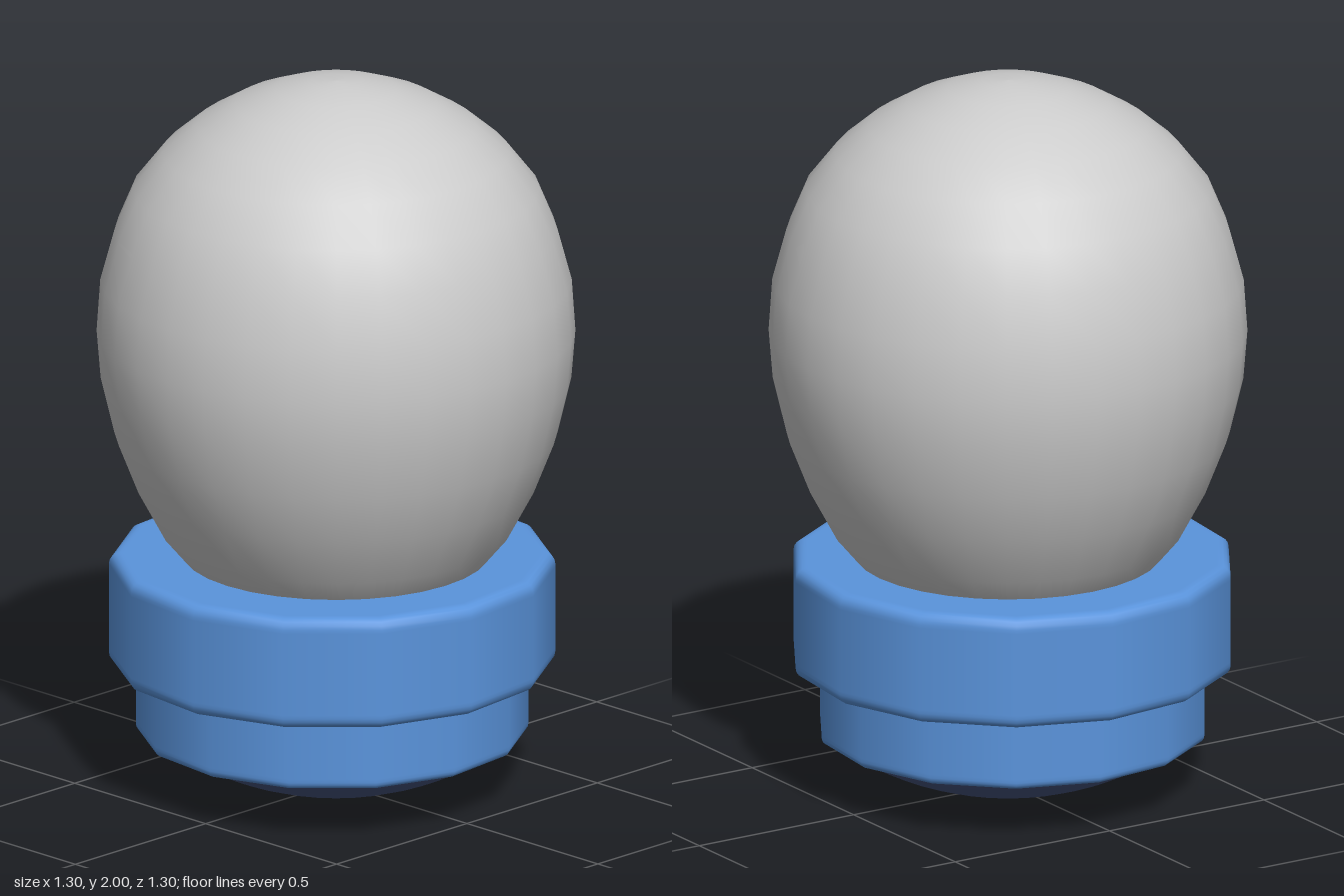
import * as THREE from 'three';

const grey = new THREE.MeshStandardMaterial({ color: 0xcccccc, side: THREE.DoubleSide });
const blue = new THREE.MeshStandardMaterial({ color: 0x5a94dc });
const navy = new THREE.MeshStandardMaterial({ color: 0x46557f, side: THREE.DoubleSide });

// Turned part from [radius, height] pairs, listed from bottom to top
function turned(name, profile, sides, material, start = 0) {
  const points = profile.map(([r, y]) => new THREE.Vector2(r, y));
  const mesh = new THREE.Mesh(new THREE.LatheGeometry(points, sides, start), material);
  mesh.name = name;
  return mesh;
}

// Closed ring profile with rounded outer rims
function ringProfile(radius, bottom, top, bevel) {
  const profile = [[0, bottom], [radius - bevel - 0.01, bottom]];
  const steps = 4;
  for (let i = 0; i <= steps; i++) {
    const a = (i / steps) * Math.PI / 2;
    profile.push([radius - bevel + bevel * Math.sin(a), bottom + bevel - bevel * Math.cos(a)]);
  }
  profile.push([radius, bottom + bevel + 0.01], [radius, top - bevel - 0.01]);
  for (let i = 0; i <= steps; i++) {
    const a = (i / steps) * Math.PI / 2;
    profile.push([radius - bevel + bevel * Math.cos(a), top - bevel + bevel * Math.sin(a)]);
  }
  profile.push([radius - bevel - 0.01, top], [0, top]);
  return profile;
}

export function createModel() {
  const group = new THREE.Group();
  group.name = 'lightBulb';

  // Glass globe, tapering into the collar
  group.add(turned('glassGlobe', [
    [0.36, 0.58], [0.415, 0.655], [0.47, 0.72], [0.545, 0.86], [0.6, 1.0],
    [0.637, 1.155], [0.648, 1.29], [0.638, 1.435], [0.6, 1.575], [0.55, 1.695],
    [0.47, 1.797], [0.38, 1.873], [0.275, 1.935], [0.165, 1.977], [0.07, 1.996], [0, 2],
  ], 32, grey));

  // Two stacked fourteen-sided base rings, set slightly off centre
  const sides = 14;
  const start = 0.75 * (Math.PI * 2 / sides);
  const base = new THREE.Group();
  base.name = 'base';
  base.position.set(-0.01, 0, -0.005);
  base.add(turned('collar', ringProfile(0.604, 0.345, 0.657, 0.03), sides, blue, start));
  base.add(turned('lowerRing', ringProfile(0.531, 0.15, 0.36, 0.02), sides, blue, start));
  group.add(base);

  // Shallow domed contact under the base
  const dome = [];
  const rim = 0.5, height = 0.165;
  const radius = (rim * rim + height * height) / (2 * height);
  const sweep = Math.asin(rim / radius);
  for (let i = 0; i <= 8; i++) {
    const a = (i / 8) * sweep;
    dome.push([radius * Math.sin(a), radius * (1 - Math.cos(a))]);
  }
  group.add(turned('bottomContact', dome, 32, navy));

  return group;
}
